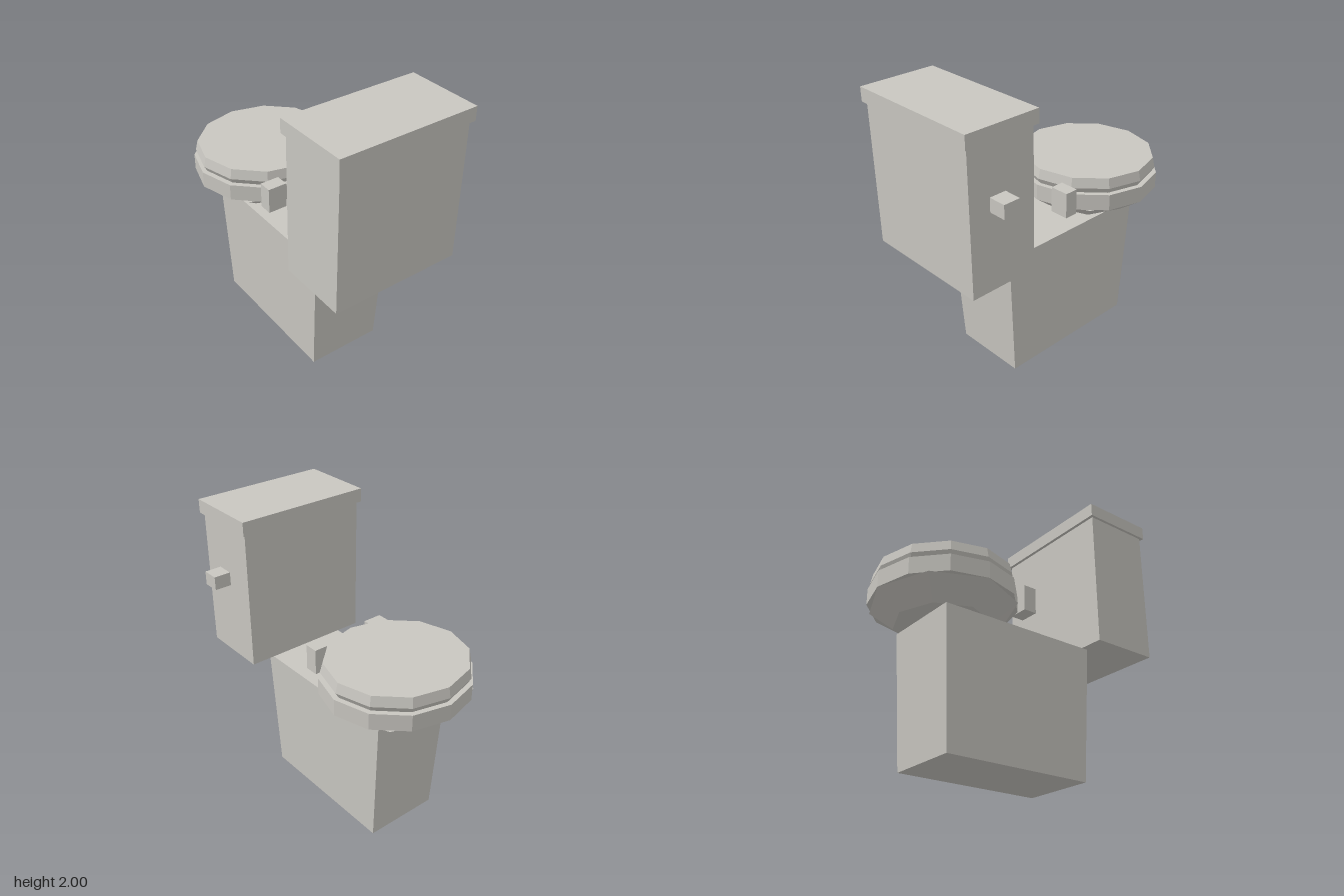
import * as THREE from 'three';

const CX = -0.04; // centre line of the body
const BOWL_Z = -0.49; // centre of bowl, seat and cover

export function createModel() {
  const group = new THREE.Group();
  const porcelain = new THREE.MeshStandardMaterial({ color: 0xc8c6c0 });
  porcelain.name = 'porcelain';
  porcelain.flatShading = true;

  const add = (name, geometry) => {
    const mesh = new THREE.Mesh(geometry, porcelain);
    mesh.name = name;
    group.add(mesh);
    return mesh;
  };

  // box given by its limits on each axis
  const box = (name, [x0, x1], [y0, y1], [z0, z1]) => {
    const g = new THREE.BoxGeometry(x1 - x0, y1 - y0, z1 - z0);
    g.translate((x0 + x1) / 2, (y0 + y1) / 2, (z0 + z1) / 2);
    return add(name, g);
  };

  // faceted, slightly oval ring stack: closed profile of [radius, y]
  const oval = (name, profile, sides) => {
    const pts = [[0, profile[0][1]], ...profile, [0, profile[profile.length - 1][1]]];
    const g = new THREE.LatheGeometry(pts.map(([r, y]) => new THREE.Vector2(r, y)), sides);
    g.scale(1, 1, 0.947);
    g.translate(CX, 0, BOWL_Z);
    return add(name, g.toNonIndexed());
  };

  // pedestal, widening towards the top
  const pedestal = new THREE.BoxGeometry(0.585, 0.93, 1.17);
  const p = pedestal.attributes.position;
  for (let i = 0; i < p.count; i++) {
    if (p.getY(i) < 0) {
      p.setX(i, p.getX(i) * 0.915);
      p.setZ(i, p.getZ(i) * 0.915);
    }
  }
  pedestal.translate(CX, 0.465, -0.07);
  pedestal.computeVertexNormals();
  add('pedestal', pedestal);

  // tank, its lid and the flush handle
  box('tank', [-0.505, 0.425], [0.93, 1.905], [0.465, 0.953]);
  box('tankLid', [-0.525, 0.447], [1.905, 2], [0.442, 0.975]);
  box('flushHandle', [0.42, 0.545], [1.465, 1.56], [0.685, 0.803]);

  // bowl, seat and closed cover
  oval('bowl', [[0.338, 0.93], [0.51, 1.055]], 8);
  oval('seat', [[0.512, 1.055], [0.512, 1.17]], 12);
  oval('seatCover', [[0.475, 1.17], [0.498, 1.21], [0.482, 1.28]], 12);

  // pair of hinges
  for (const side of [-1, 1]) {
    const x = CX + side * 0.25;
    box(side > 0 ? 'leftHinge' : 'rightHinge', [x - 0.068, x + 0.068], [1.055, 1.235], [-0.06, 0.035]);
  }

  return group;
}
